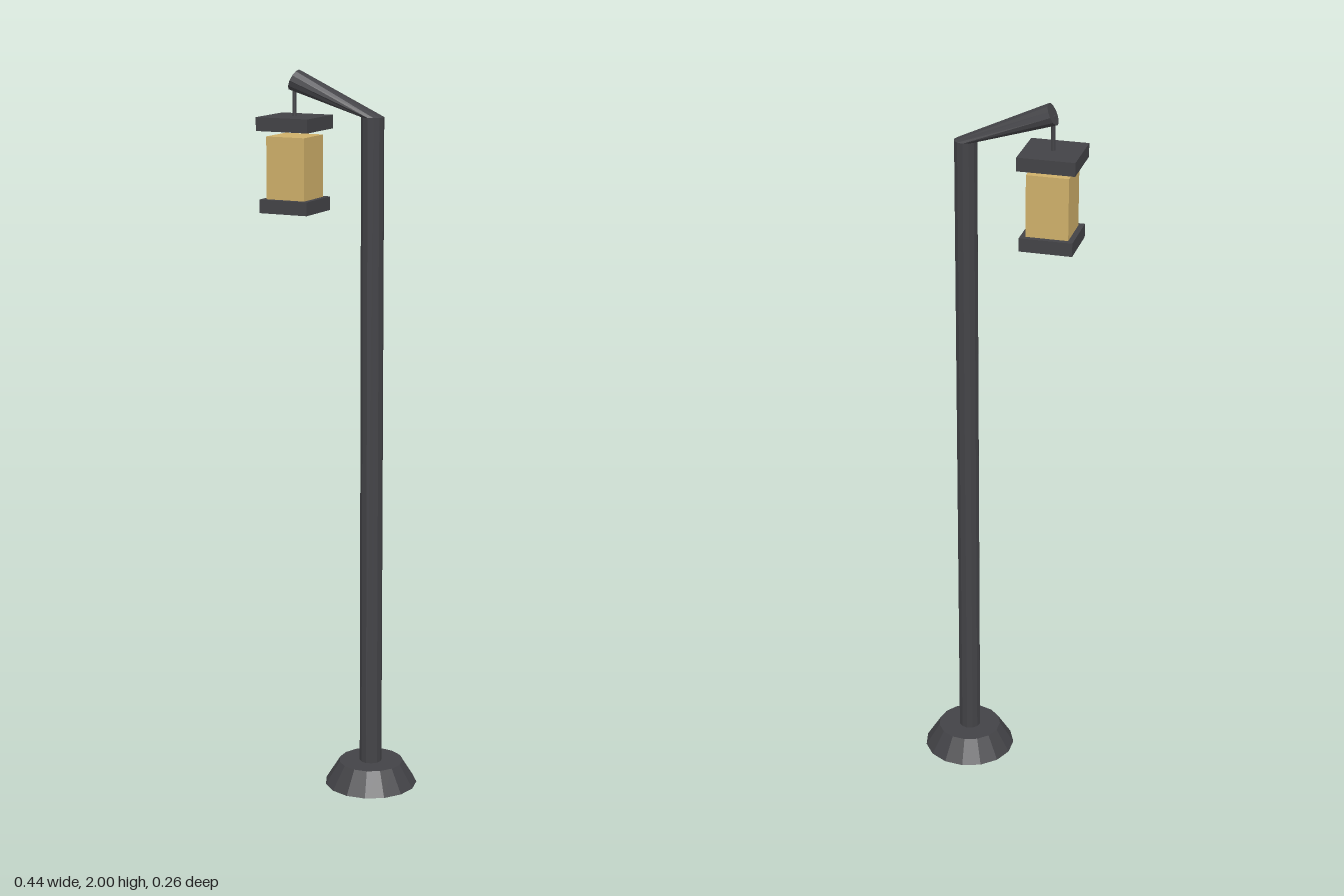
import * as THREE from 'three';

export function createModel() {
  const model = new THREE.Group();
  model.name = 'streetLamp';

  const iron = new THREE.MeshStandardMaterial({ color: 0x434347, flatShading: true });
  iron.name = 'darkIron';
  const glass = new THREE.MeshStandardMaterial({ color: 0xcfb06a, flatShading: true });
  glass.name = 'amberGlass';

  const add = (name, geometry, material, x = 0, y = 0, z = 0, parent = model) => {
    const mesh = new THREE.Mesh(geometry, material);
    mesh.name = name;
    mesh.position.set(x, y, z);
    parent.add(mesh);
    return mesh;
  };

  // Flared foot, with one corner pointing along +x
  add('base', new THREE.CylinderGeometry(0.09, 0.13, 0.065, 15, 1, false, Math.PI / 2), iron, 0.09, 0.0325);

  // Pole and arm: one tube whose rings sit at the foot, the bend and the tilted tip
  const rings = [
    { x: 0.089, y: 0.05, ux: 1, uy: 0 },
    { x: 0.089, y: 1.884, ux: 1, uy: 0 },
    { x: -0.143, y: 1.974, ux: 0.42, uy: 0.9 },
  ];
  const tube = new THREE.CylinderGeometry(1, 1, 2, 12, 2);
  const p = tube.attributes.position;
  const radius = 0.031;
  for (let i = 0; i < p.count; i++) {
    const r = rings[Math.round(p.getY(i)) + 1];
    const u = p.getX(i) * radius;
    p.setXYZ(i, r.x + u * r.ux, r.y + u * r.uy, p.getZ(i) * radius);
  }
  tube.computeVertexNormals();
  add('poleAndArm', tube, iron);

  // Hanging lantern
  const lantern = new THREE.Group();
  lantern.name = 'lantern';
  lantern.position.set(-0.144, 0, 0);
  model.add(lantern);
  add('hangerRod', new THREE.CylinderGeometry(0.006, 0.006, 0.1, 8), iron, 0, 1.92, 0, lantern);
  add('lanternRoof', new THREE.BoxGeometry(0.155, 0.037, 0.155), iron, 0, 1.859, 0, lantern);
  add('lanternGlass', new THREE.BoxGeometry(0.114, 0.17, 0.114), glass, 0, 1.74, 0, lantern);
  add('lanternFloor', new THREE.BoxGeometry(0.143, 0.037, 0.143), iron, 0, 1.637, 0, lantern);

  return model;
}
